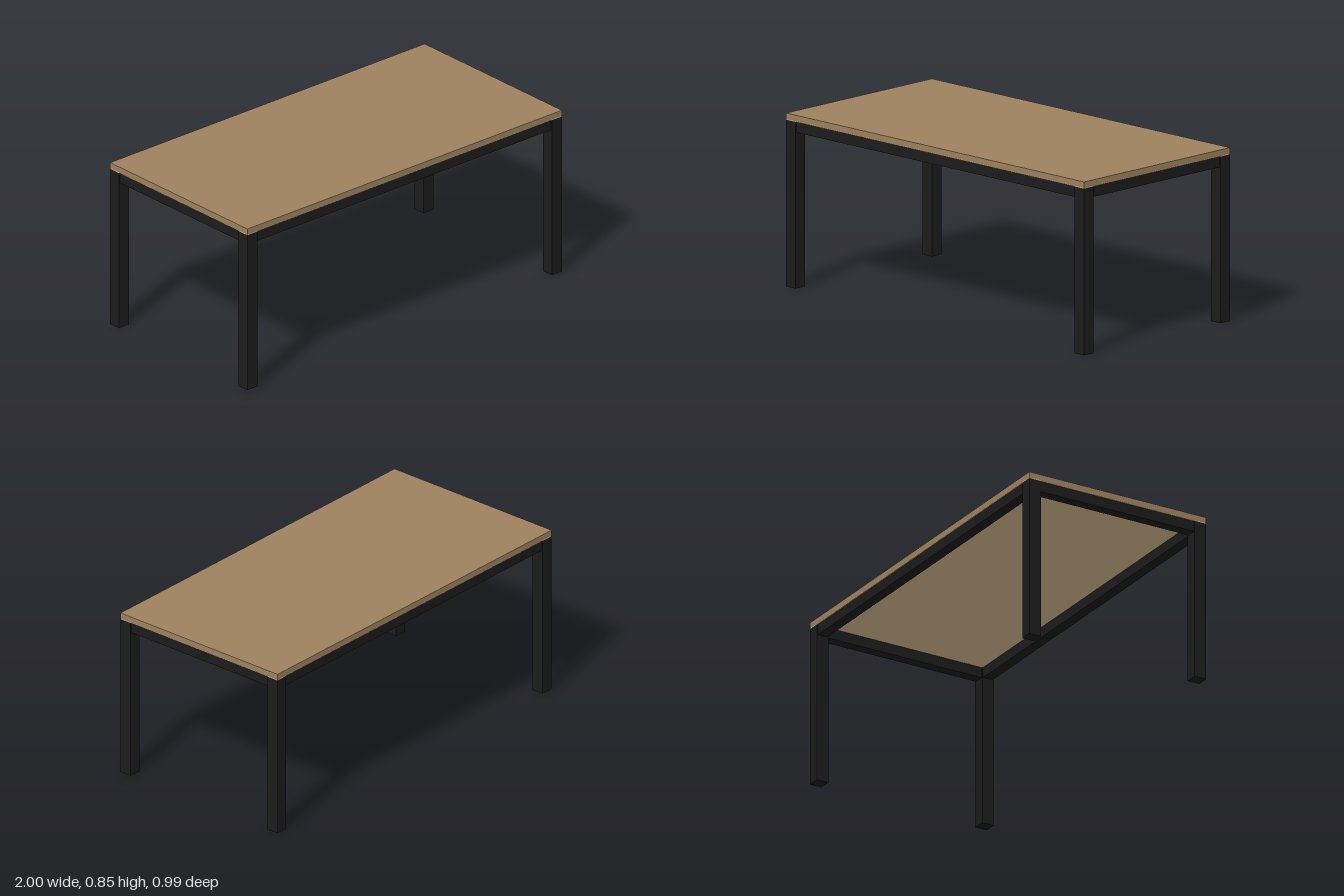
import * as THREE from 'three';

export function createModel() {
  function material(name, color) {
    const m = new THREE.MeshStandardMaterial({ color });
    m.name = name;
    return m;
  }
  const wood = material('brown wood', 0x9e815f);
  const paleWood = material('pale wood', 0xd5b88e);
  const metal = material('black metal', 0x1b1b1b);

  const halfX = 1, halfZ = 0.494, height = 0.85;
  const topThickness = 0.03, backing = 0.003;
  const leg = 0.064, rail = 0.053;
  const frameTop = height - topThickness - backing;

  const table = new THREE.Group();
  table.name = 'table';

  function box(name, mat, w, h, d, x, y, z) {
    const mesh = new THREE.Mesh(new THREE.BoxGeometry(w, h, d), mat);
    mesh.name = name;
    mesh.position.set(x, y, z);
    table.add(mesh);
  }

  // Flat wooden top with a thin pale backing sheet beneath it
  box('tableTop', wood, 2 * halfX, topThickness, 2 * halfZ, 0, height - topThickness / 2, 0);
  box('topBacking', paleWood, 2 * halfX, backing, 2 * halfZ, 0, frameTop + backing / 2, 0);

  const legX = halfX - leg / 2, legZ = halfZ - leg / 2;
  const railY = frameTop - rail / 2;

  for (const [side, sx] of [['left', 1], ['right', -1]]) {
    // Square corner legs
    for (const [end, sz] of [['Front', 1], ['Back', -1]]) {
      box(side + end + 'Leg', metal, leg, frameTop, leg, sx * legX, frameTop / 2, sz * legZ);
    }
    // Short rails between the legs at each end
    box(side + 'Rail', metal, rail, rail, 2 * legZ - leg, sx * legX, railY, 0);
  }

  // Long rails along the front and back
  for (const [end, sz] of [['front', 1], ['back', -1]]) {
    box(end + 'Rail', metal, 2 * legX - leg, rail, rail, 0, railY, sz * legZ);
  }

  return table;
}
